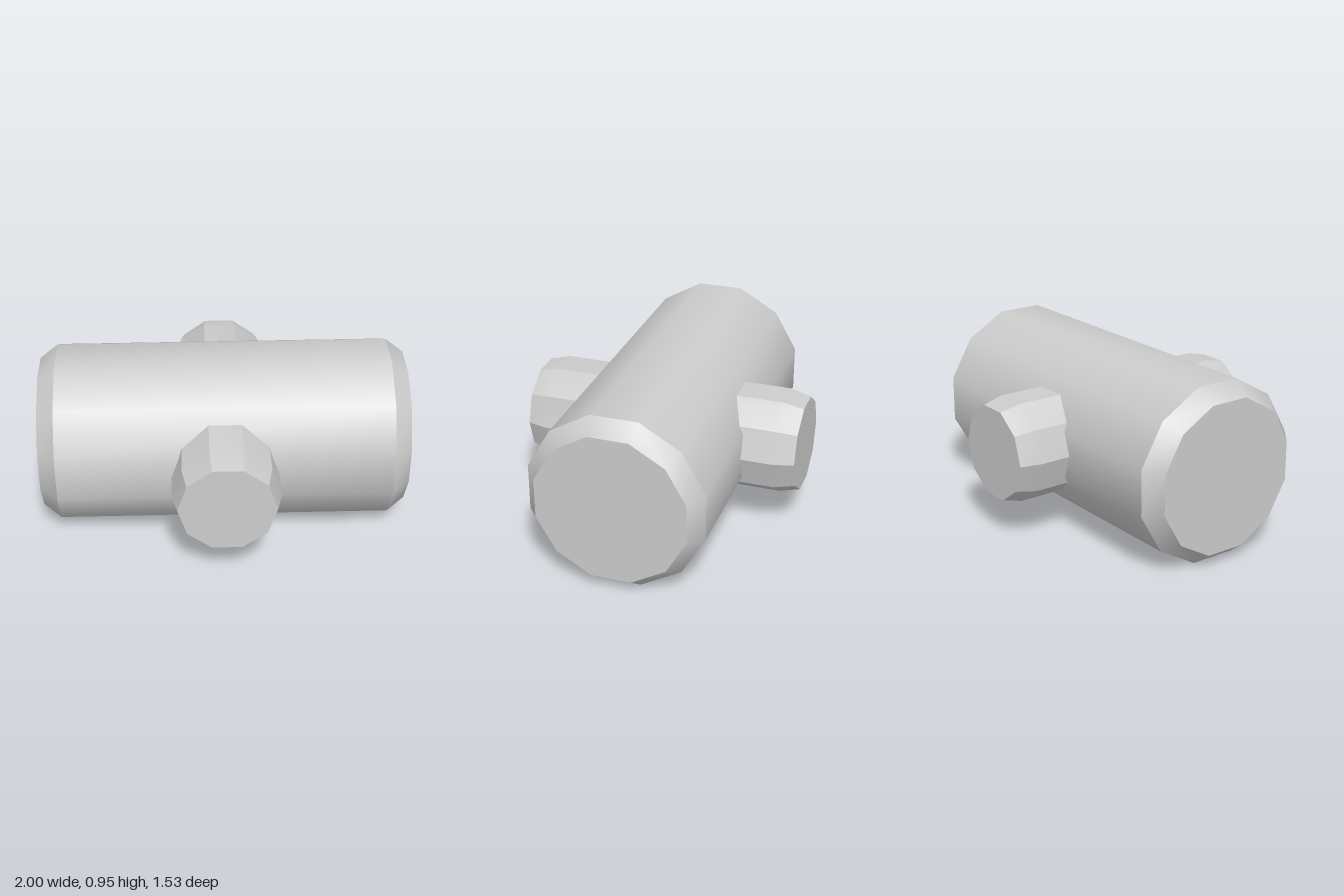
import * as THREE from 'three';
import { toCreasedNormals } from 'three/addons/utils/BufferGeometryUtils.js';

const CENTER_Y = 0.4775;

// Closed prism along y whose two ends narrow from radius to endRadius
function taperedBar(radius, endRadius, half, shoulder, sides, phiStart) {
  const profile = [
    [0, -half], [endRadius, -half], [radius, -shoulder],
    [radius, shoulder], [endRadius, half], [0, half],
  ].map(([r, y]) => new THREE.Vector2(r, y));
  return new THREE.LatheGeometry(profile, sides, phiStart);
}

export function createModel() {
  const grey = new THREE.MeshStandardMaterial({ color: 0xcccccc });
  grey.name = 'light grey';
  const model = new THREE.Group();
  model.name = 'crossedBars';

  const add = (name, geometry) => {
    // Crease only above 33 degrees: the 12-sided barrel is smooth, the 10-sided pin faceted
    const mesh = new THREE.Mesh(toCreasedNormals(geometry, THREE.MathUtils.degToRad(33)), grey);
    mesh.name = name;
    mesh.position.y = CENTER_Y;
    model.add(mesh);
  };

  // Main barrel along x, with a flat on top and chamfered ends
  add('barrel', taperedBar(0.494, 0.42, 1, 0.905, 12, Math.PI / 12).rotateZ(Math.PI / 2));

  // Cross pin along z, sticking out front and back
  add('crossPin', taperedBar(0.289, 0.26, 0.764, 0.65, 10, Math.PI / 2).rotateX(Math.PI / 2));

  return model;
}
